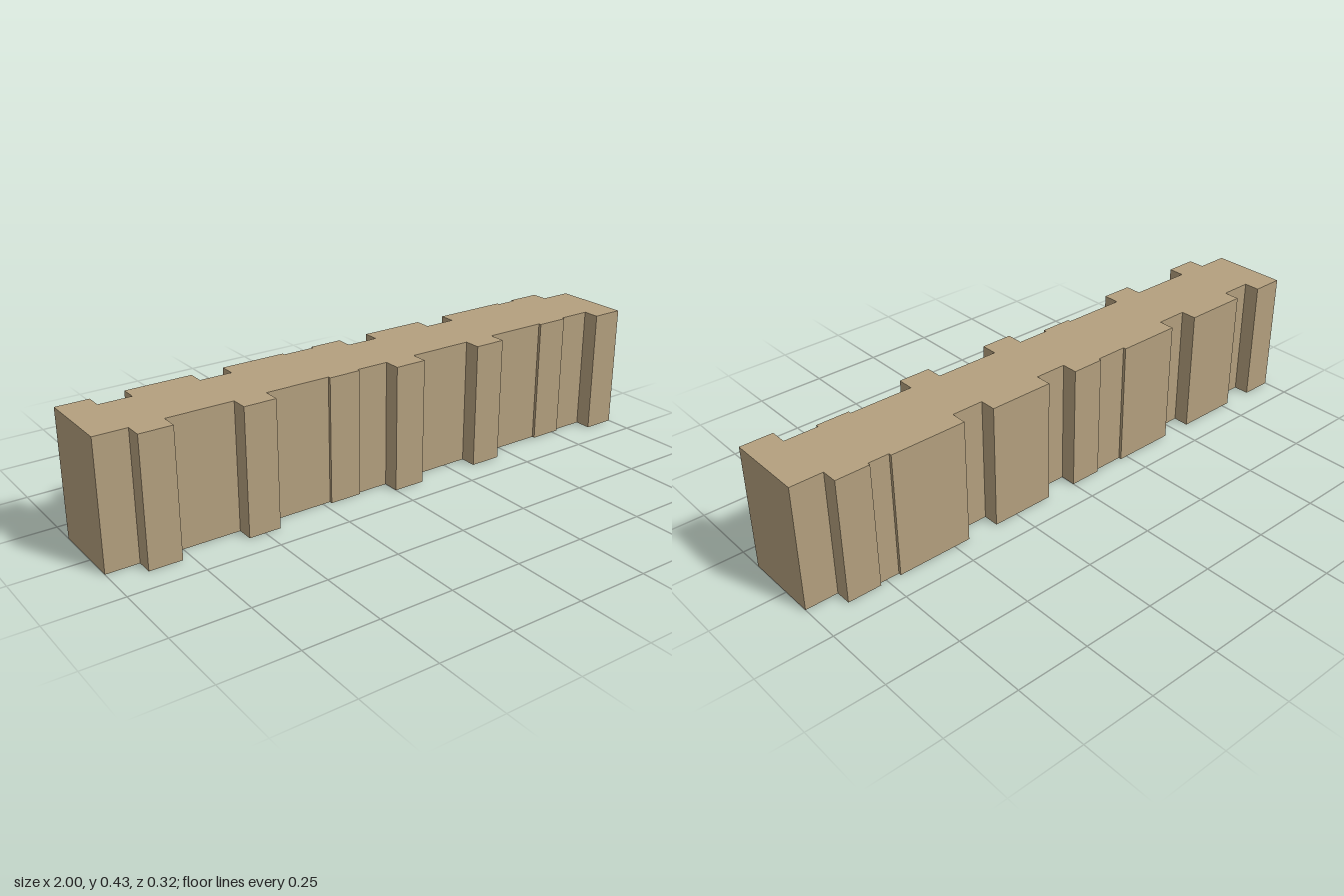
import * as THREE from 'three';

const HEIGHT = 0.43;

// Steps along each long side: [start x, end x, z of the face]
const FRONT = [
  [-1, -0.89, 0.103], [-0.89, -0.78, 0.16], [-0.78, -0.555, 0.103],
  [-0.555, -0.445, 0.16], [-0.445, -0.223, 0.103], [-0.223, -0.112, 0.113],
  [-0.112, 0, 0.103], [0, 0.11, 0.16], [0.11, 0.333, 0.103],
  [0.333, 0.443, 0.16], [0.443, 0.663, 0.103], [0.663, 0.775, 0.113],
  [0.775, 0.89, 0.103], [0.89, 1, 0.16],
];
const BACK = [
  [-1, -0.89, -0.16], [-0.89, -0.78, -0.105], [-0.78, -0.555, -0.16],
  [-0.555, -0.445, -0.105], [-0.445, -0.223, -0.16], [-0.223, -0.112, -0.15],
  [-0.112, 0, -0.16], [0, 0.11, -0.105], [0.11, 0.333, -0.16],
  [0.333, 0.443, -0.105], [0.443, 0.704, -0.16], [0.704, 0.775, -0.15],
  [0.775, 0.89, -0.16], [0.89, 1, -0.105],
];

// Corner points of one stepped side; shape y is -z so it lies flat after rotation
const corners = (steps) => steps.flatMap(([x0, x1, z]) => [
  new THREE.Vector2(x0, -z), new THREE.Vector2(x1, -z),
]);

export function createModel() {
  const group = new THREE.Group();
  group.name = 'notchedBlock';

  // Plan outline: along the front, then back along the rear
  const outline = new THREE.Shape([...corners(FRONT), ...corners(BACK).reverse()]);
  const geometry = new THREE.ExtrudeGeometry(outline, { depth: HEIGHT, bevelEnabled: false });
  geometry.rotateX(-Math.PI / 2);

  const material = new THREE.MeshStandardMaterial({ color: 0xb4a07e });
  const wall = new THREE.Mesh(geometry, material);
  wall.name = 'notchedWall';
  group.add(wall);
  return group;
}
